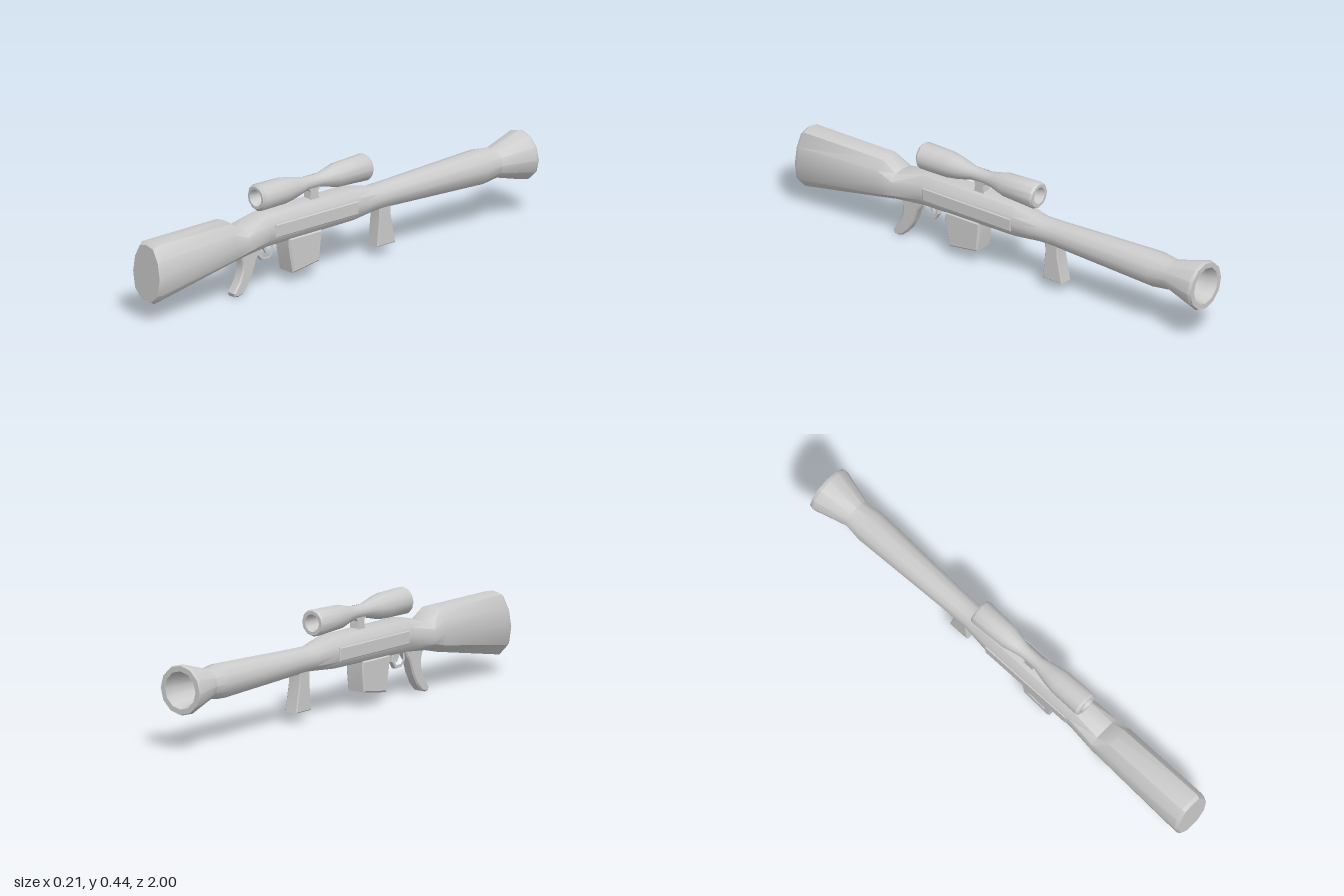
import * as THREE from 'three';
import { toCreasedNormals } from 'three/addons/utils/BufferGeometryUtils.js';

const material = new THREE.MeshStandardMaterial({ color: 0xcccccc });
const SIDES = 12;

// Unit cross-sections, clockwise from the top as seen from +z
const mirrorRing = half => [...half, ...half.slice(1, -1).reverse().map(([x, y]) => [-x, y])];
const round = Array.from({ length: SIDES }, (_, i) => {
  const a = (i / SIDES) * Math.PI * 2;
  return [Math.sin(a), Math.cos(a)];
});
const stockRing = mirrorRing([[0, 1], [0.5, 0.92], [0.85, 0.49], [1, -0.08], [0.85, -0.65], [0.35, -1], [0, -1]]);
const bodyRing = mirrorRing([[0, 1], [0.55, 0.93], [0.93, 0.5], [1, 0], [0.93, -0.5], [0.55, -0.93], [0, -1]]);

// Skin rings of [z, top, bottom, halfWidth, unit ring] running towards -z
function loft(sections, capped) {
  const pos = [], index = [];
  for (const [z, top, bottom, w, ring] of sections) {
    const cy = (top + bottom) / 2, h = (top - bottom) / 2;
    for (const [x, y] of ring) pos.push(x * w, cy + y * h, z);
  }
  const n = sections.length;
  for (let i = 0; i < n - 1; i++) {
    for (let j = 0; j < SIDES; j++) {
      const k = (j + 1) % SIDES, a = i * SIDES, b = a + SIDES;
      index.push(a + j, a + k, b + j, a + k, b + k, b + j);
    }
  }
  if (capped) {
    const last = (n - 1) * SIDES;
    for (let j = 1; j < SIDES - 1; j++) {
      index.push(0, j + 1, j, last, last + j, last + j + 1);
    }
  }
  const g = new THREE.BufferGeometry();
  g.setAttribute('position', new THREE.Float32BufferAttribute(pos, 3));
  g.setIndex(index);
  return toCreasedNormals(g, 0.62);
}

// Extrude a side profile of [z, y] points symmetrically across x
function sideExtrude(points, halfWidth, bevel = 0, hole = null) {
  const toVec = p => p.map(([z, y]) => new THREE.Vector2(z, y));
  const shape = new THREE.Shape(toVec(points));
  if (hole) shape.holes.push(new THREE.Path(toVec(hole)));
  const depth = 2 * (halfWidth - bevel);
  const g = new THREE.ExtrudeGeometry(shape, {
    depth, bevelEnabled: bevel > 0, bevelThickness: bevel, bevelSize: bevel, bevelOffset: -bevel, bevelSegments: 1,
  });
  g.translate(0, 0, -depth / 2).rotateY(-Math.PI / 2);
  return toCreasedNormals(g, 0.5);
}

export function createModel() {
  const model = new THREE.Group();
  const add = (name, geometry) => {
    const mesh = new THREE.Mesh(geometry, material);
    mesh.name = name;
    model.add(mesh);
    return mesh;
  };
  const circle = (z, r, cy) => [z, cy + r, cy - r, r, round];

  // Stock, receiver, barrel and flared muzzle with its bore
  const barrelY = 0.25;
  add('stockAndBarrel', loft([
    [1, 0.322, 0.086, 0.08, stockRing],
    [0.985, 0.335, 0.078, 0.088, stockRing],
    [0.59, 0.335, 0.153, 0.086, stockRing],
    [0.52, 0.292, 0.17, 0.08, bodyRing],
    [0.39, 0.324, 0.182, 0.068, bodyRing],
    [-0.07, 0.324, 0.188, 0.066, bodyRing],
    [-0.19, 0.302, 0.196, 0.054, round],
    circle(-0.27, 0.054, barrelY),
    circle(-0.76, 0.073, barrelY),
    circle(-0.84, 0.063, barrelY),
    circle(-0.985, 0.104, barrelY),
    circle(-1, 0.1, barrelY),
    circle(-1, 0.078, barrelY),
    circle(-0.96, 0.068, barrelY),
    circle(-0.82, 0.05, barrelY),
    circle(-0.6, 0.045, barrelY),
  ], true));

  // Shallow plates on the receiver sides
  for (const side of [1, -1]) {
    const plate = add(side > 0 ? 'leftPlate' : 'rightPlate',
      sideExtrude([[0.37, 0.225], [0.37, 0.28], [-0.07, 0.28], [-0.07, 0.225]], 0.006, 0.003));
    plate.position.x = side * 0.063;
  }

  // Hollow scope
  const scopeY = 0.388;
  add('scope', loft([
    [0.42, 0.046], [0.41, 0.056], [0.28, 0.054], [0.23, 0.046], [0.16, 0.029], [0.09, 0.028],
    [0.05, 0.036], [0, 0.049], [-0.155, 0.056], [-0.165, 0.05], [-0.165, 0.036], [-0.14, 0.029],
    [0.39, 0.029], [0.42, 0.036], [0.42, 0.046],
  ].map(([z, r]) => circle(z, r, scopeY)), false));

  // Scope post, spreading at the foot and under the tube
  add('scopeMount', sideExtrude([
    [0.16, 0.315], [0.145, 0.325], [0.142, 0.355], [0.155, 0.37],
    [0.09, 0.37], [0.103, 0.355], [0.1, 0.325], [0.085, 0.315],
  ], 0.02));

  // Curved pistol grip
  add('grip', sideExtrude([
    [0.52, 0.19], [0.505, 0.14], [0.505, 0.105], [0.522, 0.06], [0.552, 0.018], [0.547, 0.003], [0.528, 0],
    [0.505, 0.007], [0.475, 0.04], [0.45, 0.085], [0.43, 0.14], [0.41, 0.165], [0.4, 0.195],
  ], 0.023, 0.006));

  // Trigger guard and trigger
  add('triggerGuard', sideExtrude(
    [[0.415, 0.19], [0.412, 0.145], [0.392, 0.122], [0.352, 0.12], [0.332, 0.15], [0.338, 0.19]], 0.011, 0.002,
    [[0.402, 0.182], [0.4, 0.15], [0.386, 0.133], [0.358, 0.131], [0.344, 0.152], [0.348, 0.182]]));
  add('trigger', sideExtrude(
    [[0.385, 0.19], [0.38, 0.165], [0.367, 0.145], [0.36, 0.148], [0.368, 0.168], [0.368, 0.19]], 0.006));

  // Magazine: an outer frame around a recessed core
  const outline = [[0.278, 0.195], [0.276, 0.15], [0.256, 0.044], [0.115, 0.065], [0.105, 0.15], [0.105, 0.195]];
  add('magazineFrame', sideExtrude(outline, 0.045, 0.007,
    [[0.25, 0.162], [0.237, 0.075], [0.14, 0.088], [0.13, 0.162]]));
  add('magazineCore', sideExtrude(
    [[0.262, 0.18], [0.248, 0.06], [0.128, 0.078], [0.118, 0.18]], 0.036));

  // Flared fore grip
  add('foreGrip', sideExtrude(
    [[-0.213, 0.215], [-0.215, 0.165], [-0.203, 0.045], [-0.3, 0.045], [-0.277, 0.165], [-0.277, 0.215]],
    0.03, 0.004));

  return model;
}
